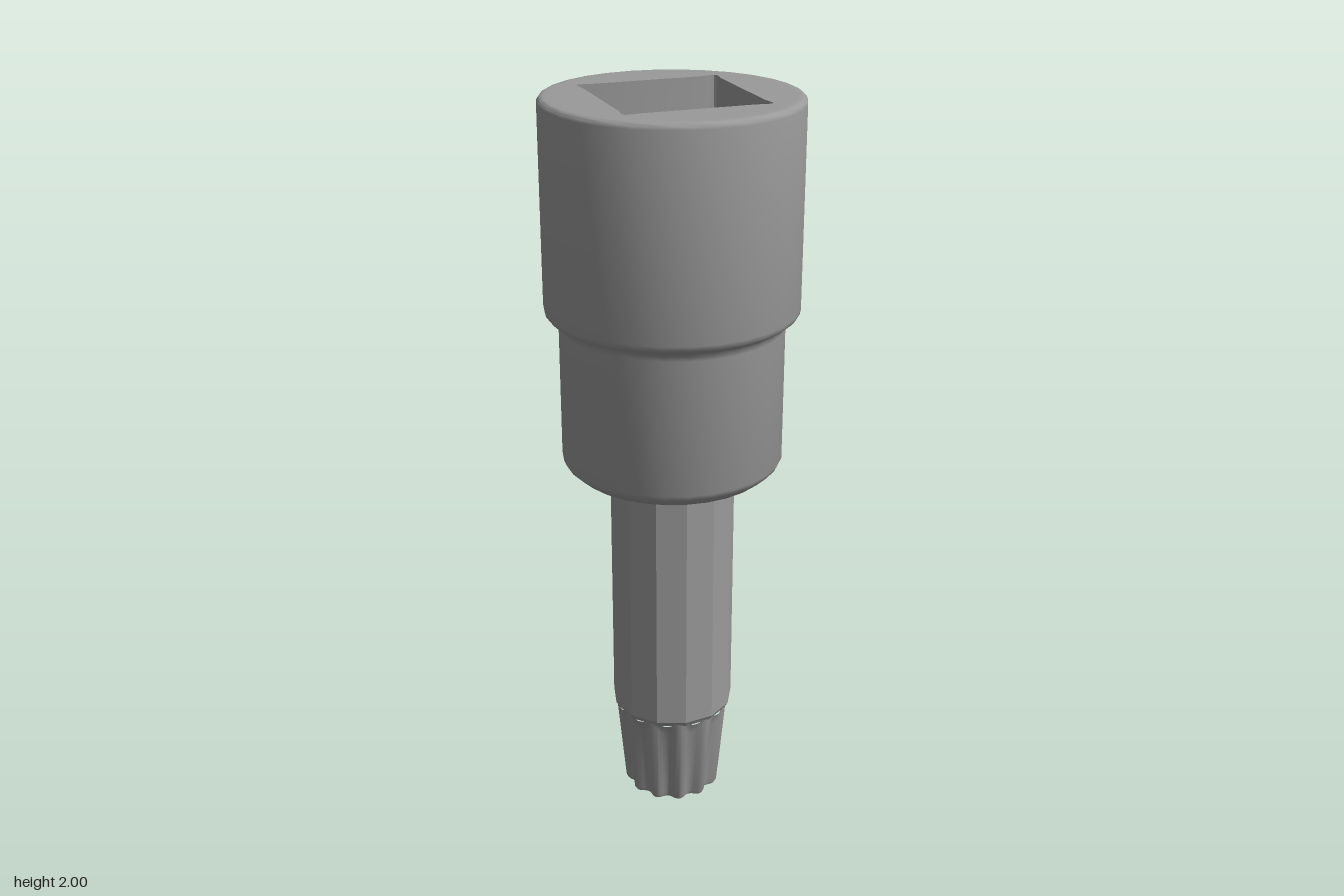
import * as THREE from 'three';
import { toCreasedNormals } from 'three/addons/utils/BufferGeometryUtils.js';

const material = new THREE.MeshStandardMaterial({ color: 0x9a9a9a });
const v = (x, y, z) => new THREE.Vector3(x, y, z);

// Ring of points around y, counter-clockwise from above; r and y are functions of the index
function ring(n, r, y, turn = 0) {
  return Array.from({ length: n }, (_, i) => {
    const a = turn + (i / n) * Math.PI * 2;
    return v(r(i) * Math.sin(a), y(i), r(i) * Math.cos(a));
  });
}
const circle = (n, r, y, turn) => ring(n, () => r, () => y, turn);

// Skin closed rings: upwards order faces out, downwards order faces in
function loft(rings, crease) {
  const n = rings[0].length, pos = [];
  for (let k = 0; k < rings.length - 1; k++) {
    for (let i = 0; i < n; i++) {
      const j = (i + 1) % n;
      const a = rings[k][i], b = rings[k][j], c = rings[k + 1][j], d = rings[k + 1][i];
      for (const p of [a, b, c, a, c, d]) pos.push(p.x, p.y, p.z);
    }
  }
  const g = new THREE.BufferGeometry();
  g.setAttribute('position', new THREE.Float32BufferAttribute(pos, 3));
  return toCreasedNormals(g, crease);
}

// Flat horizontal face between an outline and an optional hole
function flat(outline, hole, y, down = false) {
  const to2D = (pts) => pts.map((p) => new THREE.Vector2(p.x, down ? p.z : -p.z));
  const shape = new THREE.Shape(to2D(outline));
  if (hole) shape.holes.push(new THREE.Path(to2D(hole)));
  return new THREE.ShapeGeometry(shape).rotateX(down ? Math.PI / 2 : -Math.PI / 2).translate(0, y, 0);
}

// Square drive outline with small relieved corners
function squareRing(y) {
  const corner = [[0.145, 0.185], [0.17, 0.189], [0.184, 0.189], [0.189, 0.184], [0.189, 0.17], [0.185, 0.145]];
  const pts = [];
  for (let q = 0; q < 4; q++) {
    for (const [x, z] of corner) {
      pts.push([v(x, y, z), v(z, y, -x), v(-x, y, -z), v(-z, y, x)][q]);
    }
  }
  return pts;
}

export function createModel() {
  const model = new THREE.Group();
  const add = (parent, name, geometry) => {
    const mesh = new THREE.Mesh(geometry, material);
    mesh.name = name;
    parent.add(mesh);
  };

  // Stepped round body with softened foot chamfer, filleted shoulder and rounded rim
  const profile = [
    [0.15, 1.005], [0.25, 1.005], [0.262, 1.01], [0.289, 1.034], [0.295, 1.048], [0.295, 1.412],
    [0.298, 1.426], [0.307, 1.436], [0.322, 1.444], [0.33, 1.452], [0.333, 1.464], [0.333, 1.984],
  ];
  for (let k = 1; k <= 4; k++) {
    const a = (k * Math.PI) / 8;
    profile.push([0.317 + 0.016 * Math.cos(a), 1.984 + 0.016 * Math.sin(a)]);
  }
  profile.push([0.3, 2]);
  const points = profile.map(([x, y]) => new THREE.Vector2(x, y));
  add(model, 'body', toCreasedNormals(new THREE.LatheGeometry(points, 30), 0.6));

  // Square drive socket with a round stepped bore in its floor
  const socket = new THREE.Group();
  socket.name = 'driveSocket';
  model.add(socket);
  const floorY = 1.48, boreY = 1.38, pilotY = 1.32;
  const bore = (y) => circle(32, 0.184, y), pilot = (y) => circle(16, 0.092, y);
  add(socket, 'rim', flat(circle(30, 0.3, 2), squareRing(2), 2));
  add(socket, 'squareWalls', loft([squareRing(2), squareRing(floorY)], 0.6));
  add(socket, 'squareFloor', flat(squareRing(floorY), bore(floorY), floorY));
  add(socket, 'boreWall', loft([bore(floorY), bore(boreY)], 0.6));
  add(socket, 'boreFloor', flat(bore(boreY), pilot(boreY), boreY));
  add(socket, 'pilotWall', loft([pilot(boreY), pilot(pilotY)], 0.6));
  add(socket, 'pilotFloor', flat(pilot(pilotY), null, pilotY));

  // Faceted shank
  const shankTurn = -Math.PI / 2;
  const shank = [[0.16, 0.268], [0.17, 0.285], [0.17, 1.02]];
  add(model, 'shank', loft(shank.map(([r, y]) => circle(13, r, y, shankTurn)), 0.4));
  add(model, 'shankEnd', flat(circle(13, 0.16, 0.268, shankTurn), null, 0.268, true));

  // Tapered twelve-tooth splined tip whose flutes run out below the shank
  const depth = [0, 0, 0.3, 0.75, 1, 1, 0.75, 0.3];
  const n = 12 * depth.length;
  const cut = (i) => depth[i % depth.length];
  const rings = [
    [0.129, 0.015, 0, 0], [0.136, 0.018, 0.012, 0], [0.159, 0.02, 0.262, 0.035], [0.161, 0, 0.28, 0.012],
  ].map(([r, d, y, drop]) => ring(n, (i) => r - d * cut(i), (i) => y - drop * cut(i), THREE.MathUtils.degToRad(17)));
  add(model, 'splinedTip', loft(rings, 0.8));
  add(model, 'tipEnd', flat(rings[0], null, 0, true));

  return model;
}
